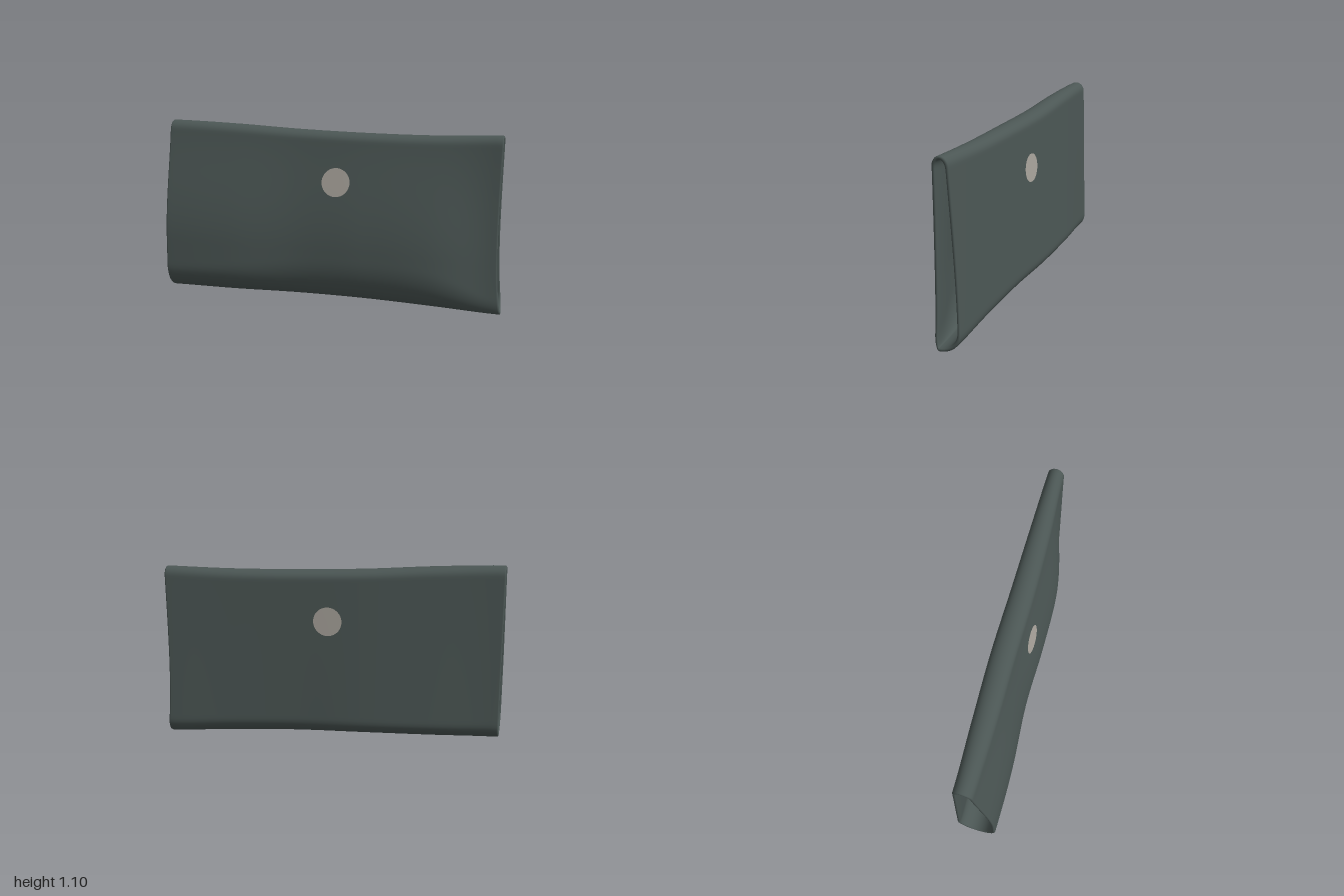
import * as THREE from 'three';

const fabric = new THREE.MeshStandardMaterial({ color: 0x4b5654 });
fabric.name = 'dark grey green';
const button = new THREE.MeshStandardMaterial({ color: 0xa9a49c });
button.name = 'warm light grey';

// Evenly spaced sections from x = -1 to x = 1:
// [front z low, front z top, back z low, back z top, bottom y, top y, z of lowest line, front fold height]
const SECTIONS = [
  [0.18, 0.065, -0.06, -0.03, 0.085, 1.105, 0.05, 0.14],
  [0.16, 0.055, -0.105, -0.06, 0.075, 1.087, 0.03, 0.17],
  [0.118, 0.035, -0.138, -0.09, 0.068, 1.06, 0, 0.22],
  [0.106, 0.018, -0.145, -0.105, 0.055, 1.043, -0.02, 0.24],
  [0.072, -0.01, -0.162, -0.12, 0.03, 1.035, -0.04, 0.22],
  [-0.03, -0.038, -0.185, -0.13, 0, 1.04, -0.06, 0.08],
];
const BACK_FOLD = 0.1, TOP_FOLD = 0.05; // heights of the other folds, as fractions

// Smooth blend of the section values at x
function sectionAt(x) {
  const n = SECTIONS.length - 1;
  const p = THREE.MathUtils.clamp((x + 1) / 2, 0, 1) * n;
  const i = Math.min(Math.floor(p), n - 1), f = p - i;
  const at = (j, c) => SECTIONS[THREE.MathUtils.clamp(j, 0, n)][c];
  return SECTIONS[0].map((_, c) => {
    const a = at(i, c), b = at(i + 1, c);
    const m0 = (b - at(i - 1, c)) / 2, m1 = (at(i + 2, c) - a) / 2;
    return a + f * m0 + f * f * (3 * (b - a) - 2 * m0 - m1) + f * f * f * (2 * (a - b) + m0 + m1);
  });
}

// Quarter-ellipse rise from 0 to 1 over the given height
const fold = (t, height) => (t < height ? Math.sqrt(Math.max(0, 1 - (1 - t / height) ** 2)) : 1);

// Point on the sleeve: t runs up the height, side is 1 for front, -1 for back
function sleevePoint(x, t, side, inset = 0) {
  const [f, ft, b, bt, y0, y1, low, frontFold] = sectionAt(x);
  const front = f + (ft - f) * THREE.MathUtils.smoothstep(t, 0.3, 1.15) - inset;
  const back = b + (bt - b) * t + inset;
  const face = side > 0 ? front : back;
  const z = t < 0.5
    ? THREE.MathUtils.lerp(THREE.MathUtils.clamp(low, back, front), face, fold(t, side > 0 ? frontFold : BACK_FOLD))
    : THREE.MathUtils.lerp((front + back) / 2, face, fold(1 - t, TOP_FOLD));
  const y = y0 + inset + t * (y1 - y0 - 2 * inset);
  // the +x mouth curves inwards, mostly in its lower half
  const dip = (0.022 * Math.sin(Math.PI * t ** 0.65) + 0.006 * t) * THREE.MathUtils.smoothstep(x, 0.7, 1);
  return new THREE.Vector3(x - dip, y, z);
}

// Closed strip: along the outside, round the lip, back along the inside
function sleeveGeometry() {
  const rise = [];
  for (let i = 1; i < 48; i++) rise.push((1 - Math.cos(Math.PI * i / 48)) / 2);
  const loop = [[0, 1], ...rise.map(t => [t, 1]), [1, 1], ...rise.slice().reverse().map(t => [t, -1])];

  const path = [], N = 60, r = 0.009;
  for (let i = 0; i <= N; i++) path.push([(-1 + 2 * i / N) * (1 - r), 0]);
  for (let i = 1; i < 8; i++) {
    const a = i / 8 * Math.PI;
    path.push([1 - r + r * Math.sin(a), r - r * Math.cos(a)]);
  }
  // the wall thickens slightly away from the mouths
  for (let i = N; i >= 0; i--) {
    const u = -1 + 2 * i / N;
    path.push([u * (1 - r), 2 * r + 0.01 * (1 - u ** 4)]);
  }
  for (let i = 1; i < 8; i++) {
    const a = i / 8 * Math.PI;
    path.push([-1 + r - r * Math.sin(a), r + r * Math.cos(a)]);
  }

  const positions = [], index = [], P = path.length, K = loop.length;
  for (const [x, inset] of path)
    for (const [t, side] of loop) positions.push(...sleevePoint(x, t, side, inset).toArray());
  for (let i = 0; i < P; i++) for (let k = 0; k < K; k++) {
    const i2 = (i + 1) % P, k2 = (k + 1) % K;
    const a = i * K + k, b = i2 * K + k, c = i2 * K + k2, d = i * K + k2;
    index.push(a, b, d, b, c, d);
  }
  const g = new THREE.BufferGeometry();
  g.setAttribute('position', new THREE.Float32BufferAttribute(positions, 3));
  g.setIndex(index);
  g.computeVertexNormals();
  return g;
}

// Thin disc laid over the front or back face
function discGeometry(cx, cy, side) {
  const g = new THREE.RingGeometry(0, 0.084, 48, 5);
  if (side < 0) g.rotateY(Math.PI);
  const p = g.attributes.position;
  for (let i = 0; i < p.count; i++) {
    const x = cx + p.getX(i), y = cy + p.getY(i);
    const s = sectionAt(x);
    const q = sleevePoint(x, (y - s[4]) / (s[5] - s[4]), side);
    p.setXYZ(i, x, y, q.z + side * 0.003);
  }
  g.computeVertexNormals();
  return g;
}

export function createModel() {
  const group = new THREE.Group();
  group.name = 'sleevePouch';
  const add = (name, geometry, material) => {
    const mesh = new THREE.Mesh(geometry, material);
    mesh.name = name;
    group.add(mesh);
  };
  add('sleeve', sleeveGeometry(), fabric);
  add('frontDisc', discGeometry(0.04, 0.758, 1), button);
  add('backDisc', discGeometry(0, 0.757, -1), button);
  return group;
}
